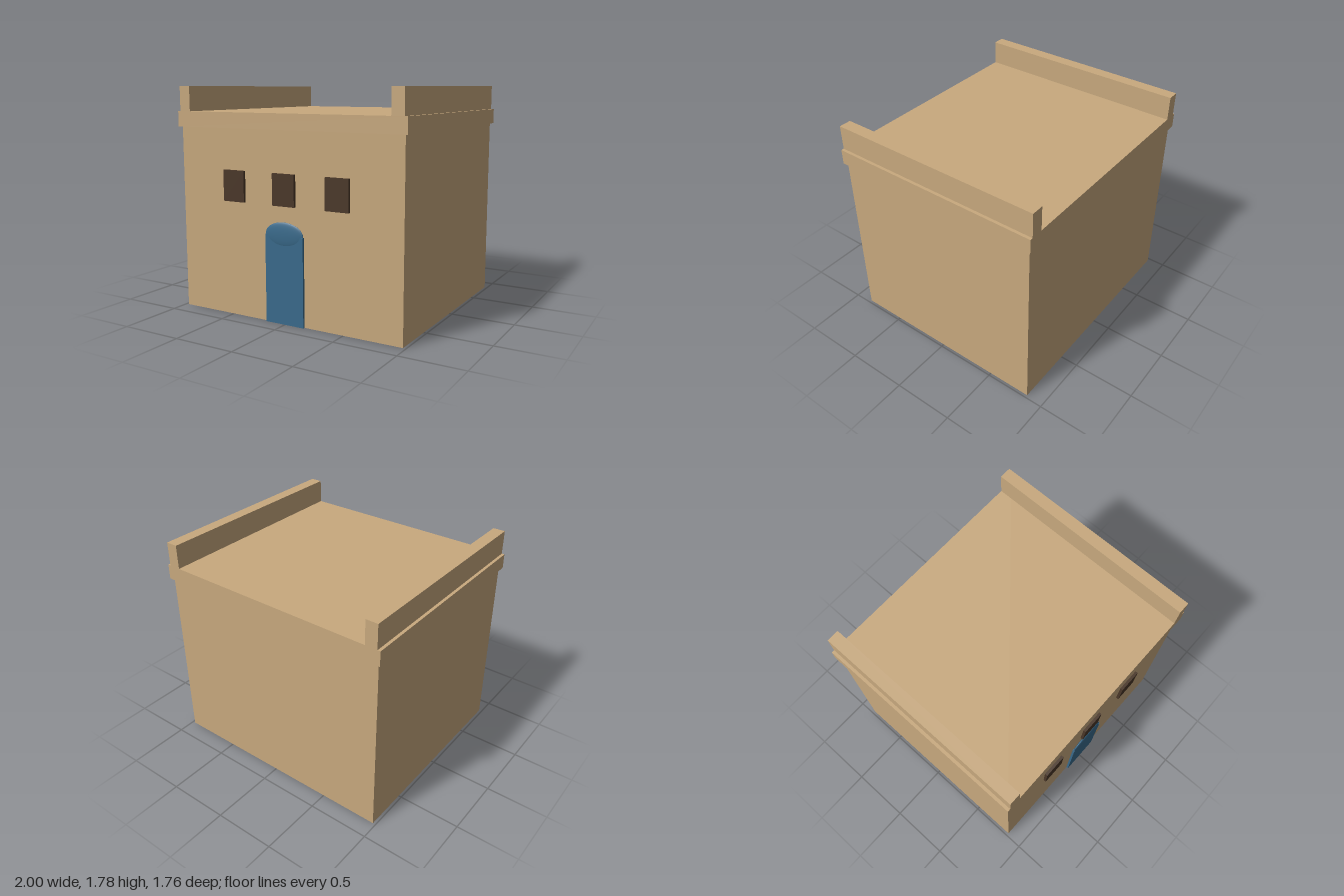
import * as THREE from 'three';

const paint = (name, color) => {
  const m = new THREE.MeshStandardMaterial({ color });
  m.name = name;
  return m;
};

export function createModel() {
  const adobe = paint('adobe', 0xc8a97e);
  const shutter = paint('dark wood', 0x4a3728);
  const blue = paint('door blue', 0x3a6b8c);

  const house = new THREE.Group();
  house.name = 'adobeHouse';

  // Box given by its lower and upper limits on each axis
  const box = (name, material, [x0, x1], [y0, y1], [z0, z1]) => {
    const mesh = new THREE.Mesh(new THREE.BoxGeometry(x1 - x0, y1 - y0, z1 - z0), material);
    mesh.position.set((x0 + x1) / 2, (y0 + y1) / 2, (z0 + z1) / 2);
    mesh.name = name;
    house.add(mesh);
    return mesh;
  };

  const wallFront = 0.853;
  const roofDepth = [-0.878, 0.874];

  // Walls and overhanging roof slab
  box('walls', adobe, [-0.976, 0.976], [0, 1.467], [-0.856, wallFront]);
  box('roofSlab', adobe, [-1, 1], [1.467, 1.588], roofDepth);

  // Parapets along both sides of the roof
  box('leftParapet', adobe, [0.878, 0.976], [1.588, 1.783], roofDepth);
  box('rightParapet', adobe, [-0.976, -0.878], [1.588, 1.783], roofDepth);

  // Row of three shuttered windows
  ['rightWindow', 'middleWindow', 'leftWindow'].forEach((name, i) => {
    const x = (i - 1) * 0.458;
    box(name, shutter, [x - 0.097, x + 0.097], [0.905, 1.147], [wallFront, 0.875]);
  });

  // Door with a flattened round top
  box('door', blue, [-0.168, 0.168], [0, 0.685], [wallFront, 0.871]);
  const arch = new THREE.Mesh(new THREE.SphereGeometry(1, 32, 20), blue);
  arch.name = 'doorArch';
  arch.scale.set(0.168, 0.095, 0.015);
  arch.position.set(0, 0.69, 0.863);
  house.add(arch);

  return house;
}
